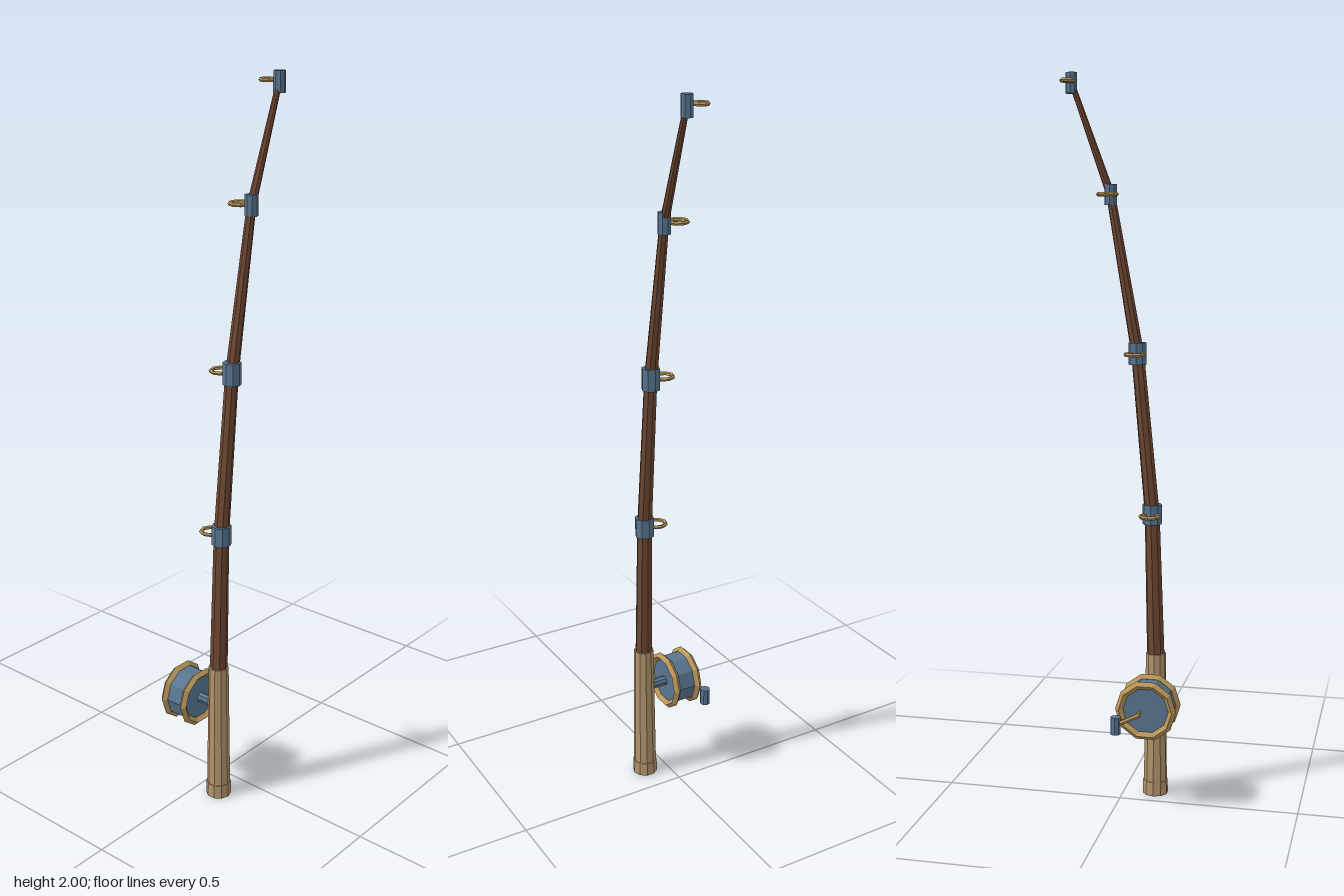
import * as THREE from 'three';

const paint = (color) => new THREE.MeshStandardMaterial({ color, flatShading: true });

export function createModel() {
  const root = new THREE.Group();
  const wood = paint(0x6e4732), cork = paint(0xb3946c), brass = paint(0xb8955a), steel = paint(0x587590);
  const rodZ = 0.066, baseX = -0.089;

  const add = (name, geometry, material, x, y, z, parent = root) => {
    const mesh = new THREE.Mesh(geometry, material);
    mesh.name = name;
    mesh.position.set(x, y, z);
    parent.add(mesh);
    return mesh;
  };

  // Handle with its butt cap
  add('handle', new THREE.CylinderGeometry(0.028, 0.033, 0.38, 10), cork, baseX, 0.22, rodZ);
  add('buttCap', new THREE.CylinderGeometry(0.035, 0.036, 0.04, 10), cork, baseX, 0.02, rodZ);

  // Bent tapering rod: each row of a cylinder is moved onto a joint [x, y, radius]
  const joints = [
    [baseX, 0.39, 0.025], [-0.077, 0.806, 0.021], [-0.035, 1.25, 0.018],
    [0.04, 1.677, 0.0125], [0.148, 1.975, 0.008],
  ];
  const rod = new THREE.CylinderGeometry(1, 1, 4, 8, 4);
  const p = rod.attributes.position;
  for (let i = 0; i < p.count; i++) {
    const [x, y, r] = joints[Math.round(p.getY(i) + 2)];
    p.setXYZ(i, x + p.getX(i) * r, y, p.getZ(i) * r);
  }
  rod.computeVertexNormals();
  add('rod', rod, wood, 0, 0, rodZ);

  // Ferrule and line guide at each joint: [ferrule radius, ferrule height, guide radius]
  const fittings = [[0.027, 0.055, 0.026], [0.025, 0.06, 0.026], [0.0175, 0.055, 0.026], [0.016, 0.055, 0.0175]];
  fittings.forEach(([r, h, ringR], i) => {
    const [x, y] = joints[i + 1];
    add('ferrule', new THREE.CylinderGeometry(r, r, h, 8), steel, x, i === 3 ? 1.9725 : y, rodZ);
    const guide = new THREE.TorusGeometry(ringR, 0.0055, 5, 8).rotateX(Math.PI / 2);
    add('lineGuide', guide, brass, x, y, 0.027);
  });

  // Reel behind the handle, axis along z
  const reel = new THREE.Group();
  reel.name = 'reel';
  reel.position.set(-0.088, 0.287, 0);
  root.add(reel);
  const along = (r, length, sides) =>
    new THREE.CylinderGeometry(r, r, length, sides).rotateY(Math.PI / 2).rotateX(Math.PI / 2);
  add('reelFoot', along(0.014, 0.07, 8), steel, 0, 0, 0.025, reel);
  add('spool', along(0.073, 0.07, 10), steel, 0, 0, -0.038, reel);
  for (const z of [-0.073, -0.003]) {
    add('spoolRim', new THREE.TorusGeometry(0.074, 0.011, 4, 10), brass, 0, 0, z, reel);
  }

  // Crank arm and knob
  add('crankAxle', along(0.005, 0.024, 6), brass, 0.018, -0.006, -0.083, reel);
  const arm = add('crankArm', new THREE.CylinderGeometry(0.0065, 0.0065, 0.075, 6), brass, 0.045, -0.022, -0.094, reel);
  arm.rotation.z = Math.atan2(-0.068, -0.034);
  add('crankKnob', new THREE.CylinderGeometry(0.0145, 0.0145, 0.048, 8), steel, 0.079, -0.04, -0.094, reel);

  return root;
}
